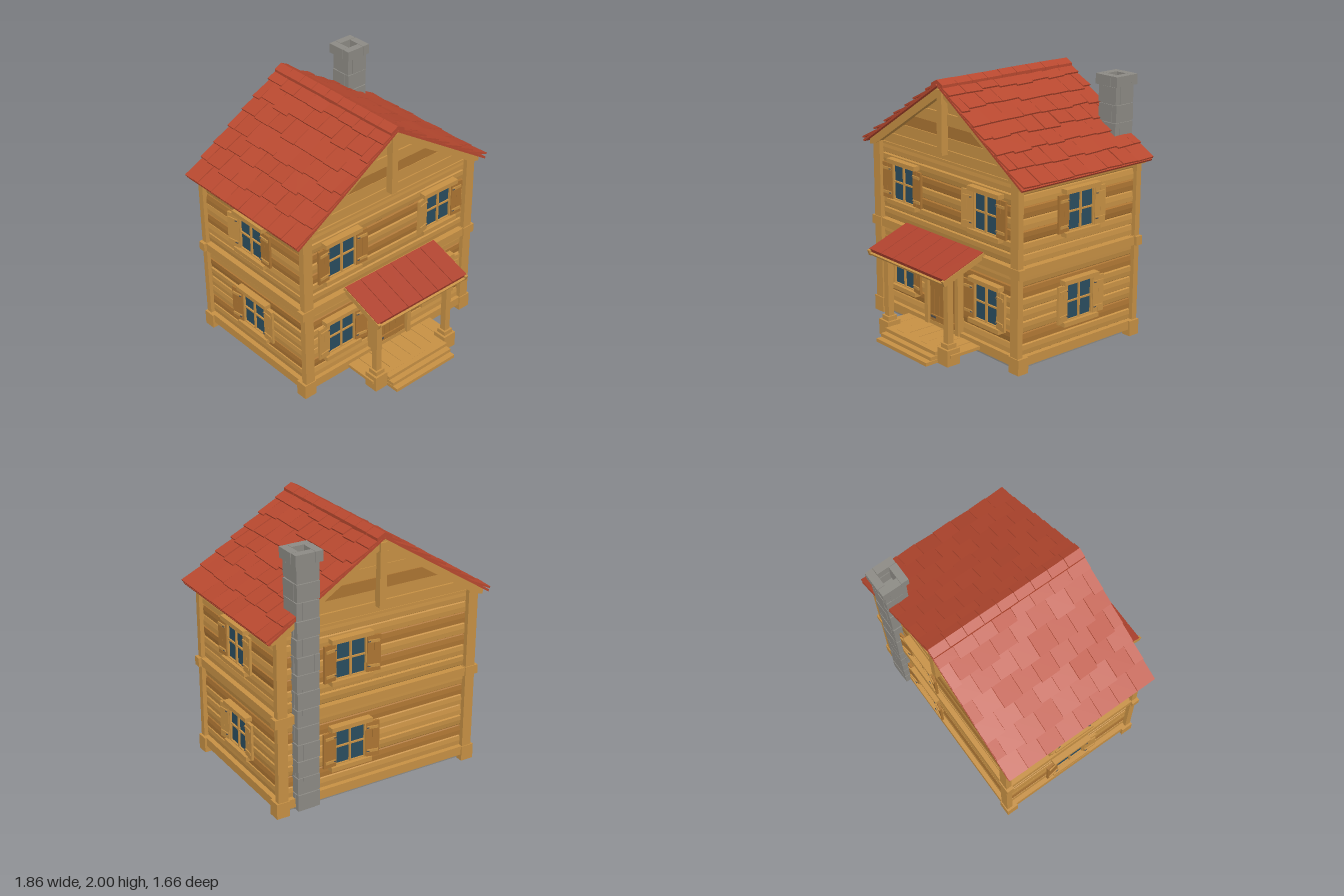
import * as THREE from 'three';

const mat = (name, color) => new THREE.MeshStandardMaterial({ name, color });
const wood = mat('lightWood', 0xc69044), darkWood = mat('darkWood', 0xab7432);
const red = mat('redTile', 0xb7482f), porchRed = mat('porchRed', 0xae422e), stone = mat('stone', 0x8c8a84);
const glass = mat('glass', 0x2a4d5f), iron = mat('iron', 0x4f4e4c);

const ZC = -0.17, HX = 0.797, HZ = 0.578; // house centre and corner post offsets
let seed = 7;
const rnd = (a = 1) => { seed = (seed * 16807) % 2147483647; return (seed / 2147483647 * 2 - 1) * a; };

function group(parent, name, x = 0, y = 0, z = 0) {
  const g = new THREE.Group();
  g.name = name;
  g.position.set(x, y, z);
  parent.add(g);
  return g;
}
function mesh(parent, name, geo, m, x = 0, y = 0, z = 0) {
  const o = new THREE.Mesh(geo, m);
  o.name = name;
  o.position.set(x, y, z);
  parent.add(o);
  return o;
}
const box = (p, name, m, w, h, d, x, y, z) => mesh(p, name, new THREE.BoxGeometry(w, h, d), m, x, y, z);
function extrude(points, depth) {
  const s = new THREE.Shape(points.map(([x, y]) => new THREE.Vector2(x, y)));
  return new THREE.ExtrudeGeometry(s, { depth, bevelEnabled: false });
}

// Hewn log with a slightly tilted, bevelled outer face, running along local x
function log(parent, m, length, h, y, z) {
  const k = h / 2, t = rnd(0.005);
  const geo = extrude([[-0.04, -k], [0.004, -k], [0.013 - t, -k * 0.86], [0.016, 0], [0.013 + t, k * 0.86], [0.004, k], [-0.04, k]], length);
  geo.translate(0, 0, -length / 2).rotateY(-Math.PI / 2);
  mesh(parent, 'wallLog', geo, m, 0, y, z);
}

function windowUnit(parent, x, y, z) {
  const w = group(parent, 'window', x, y, z);
  box(w, 'glassPane', glass, 0.25, 0.29, 0.008, 0, 0, 0.004);
  for (const s of [-1, 1]) {
    box(w, 'windowJamb', wood, 0.01, 0.29, 0.028, s * 0.124, 0, 0.012);
    box(w, 'windowRail', wood, 0.25, 0.01, 0.026, 0, s * 0.141, 0.01);
    box(w, 'windowTrim', wood, 0.34, 0.034, 0.055, 0, s * 0.159, 0.025);
    // Shutter swung a little away from the wall
    const sh = group(w, 'shutter', s * 0.128, 0, 0.024);
    sh.rotation.y = -s * (0.12 + rnd(0.1));
    const m = rnd() > 0.1 ? wood : darkWood;
    for (let i = 0; i < 2; i++) box(sh, 'shutterBoard', m, 0.051, 0.28 + rnd(0.008), 0.018, s * (0.026 + i * 0.052), 0, 0);
    for (const v of [-1, 1]) {
      box(sh, 'shutterBatten', wood, 0.085, 0.02, 0.012, s * 0.05, v * 0.095, 0.012);
      box(sh, 'shutterHinge', iron, 0.02, 0.006, 0.006, s * 0.012, v * 0.095, 0.02);
    }
  }
  box(w, 'mullion', wood, 0.014, 0.28, 0.02, 0, 0, 0.012);
  box(w, 'muntin', wood, 0.25, 0.012, 0.018, 0, 0, 0.011);
}

// One log wall; local z points outwards
function wall(parent, name, angle, half, dist, windows) {
  const w = group(parent, name, 0, 0, ZC);
  w.rotation.y = angle;
  for (const [y0, dark] of [[0.115, [1, 5]], [0.785, [2, 4]]]) {
    const n = 7, pitch = 0.605 / n;
    for (let i = 0; i < n; i++) {
      log(w, dark.includes(i) ? darkWood : wood, half * 2, pitch - 0.003, y0 + (i + 0.5) * pitch, dist - 0.018);
    }
  }
  box(w, 'sillBeam', wood, half * 2, 0.07, 0.06, 0, 0.085, dist);
  box(w, 'beltBeam', wood, half * 2, 0.065, 0.06, 0, 0.75, dist);
  for (const [x, y] of windows) windowUnit(w, x, y, dist);
}

// Gable boards, rake beams and king post
function gable(parent, angle) {
  const g = group(parent, 'gable', 0, 0, ZC);
  g.rotation.y = angle;
  const reach = (y) => Math.min(0.79, Math.max(0, (1.93 - y) / 0.64));
  for (let i = 0; i < 6; i++) {
    const a = 1.385 + i * 0.09, b = Math.min(a + 0.086, 1.925);
    const geo = extrude([[-reach(a), a], [reach(a), a], [reach(b), b], [-reach(b), b]], 0.04);
    mesh(g, 'gableBoard', geo, i === 2 ? darkWood : wood, 0, 0, 0.525 + rnd(0.005));
  }
  mesh(g, 'gableBacking', extrude([[-0.79, 1.385], [0.79, 1.385], [0.79, 1.425], [0, 1.93], [-0.79, 1.425]], 0.02), darkWood, 0, 0, 0.515);
  const rake = [[0, 1.96], [-0.88, 1.396], [-0.875, 1.35], [-0.8, 1.37], [0, 1.88], [0.8, 1.37], [0.875, 1.35], [0.88, 1.396]];
  mesh(g, 'rakeBeam', extrude(rake, 0.06), wood, 0, 0, 0.545);
  box(g, 'kingPost', wood, 0.055, 0.48, 0.06, 0, 1.68, 0.59);
  box(g, 'tieBeam', wood, 1.5, 0.02, 0.05, 0, 1.387, 0.55);
}

function roof(parent) {
  const slope = Math.atan(0.64), len = 1.078, depth = 1.27;
  for (const side of [1, -1]) {
    const turn = group(parent, side > 0 ? 'leftRoof' : 'rightRoof', 0, 1.95, ZC + 0.005);
    turn.rotation.y = side > 0 ? 0 : Math.PI;
    const r = group(turn, 'roofSlope');
    r.rotation.z = -slope;
    box(r, 'roofDeck', red, len, 0.016, depth, len / 2, 0.008, 0);
    const rows = 7, pitch = len / rows, tw = depth / 8;
    for (let row = 0; row < rows; row++) {
      const odd = row % 2;
      for (let i = 0; i < 8 + odd; i++) {
        const z0 = Math.max(-depth / 2, -depth / 2 + (i - odd / 2) * tw);
        const z1 = Math.min(depth / 2, -depth / 2 + (i + 1 - odd / 2) * tw);
        const end = (row + 1) * pitch - (row === rows - 1 ? 0 : 0.01 + rnd(0.018));
        const start = Math.max(0.02, row * pitch - 0.04);
        const t = box(r, 'roofTile', red, end - start, 0.013, z1 - z0 - 0.004, (start + end) / 2, 0.024, (z0 + z1) / 2);
        t.rotation.set(rnd(0.05), 0, 0.12 + rnd(0.03));
      }
    }
    // Rafter tails and wall plate under the eaves
    for (let i = 0; i < 5; i++) box(r, 'rafterTail', wood, 0.14, 0.035, 0.04, 0.975, -0.018, -0.54 + i * 0.27);
    box(turn, 'wallPlate', wood, 0.06, 0.05, 1.12, 0.79, -0.56, 0);
  }
  // Ridge tiles
  for (let i = 0; i < 9; i++) {
    const e = rnd(0.003) - 0.003, cap = [[0, 2 + e], [-0.062, 1.968 + e], [-0.062, 1.935 + e], [0, 1.97 + e], [0.062, 1.935 + e], [0.062, 1.968 + e]];
    mesh(parent, 'ridgeTile', extrude(cap, depth / 9 - 0.004), red, 0, 0, ZC + 0.005 - depth / 2 + i * depth / 9 + 0.002);
  }
}

// Ring of four blocks laid in a pinwheel, flipped on alternate courses
function course(parent, half, t, y, h, flip) {
  const g = group(parent, 'chimneyCourse', 0, y, 0);
  const l = half * 2 - t - 0.004;
  for (let i = 0; i < 4; i++) {
    const side = group(g, 'blockSide');
    side.rotation.y = i * Math.PI / 2;
    box(side, 'stoneBlock', stone, l, h - 0.007, t, (flip ? 1 : -1) * t / 2, 0, half - t / 2 + rnd(0.003));
  }
}
function chimney(parent) {
  const c = group(parent, 'chimney', 0.61, 0, -0.72);
  for (let i = 0; i < 14; i++) course(c, 0.09, 0.042, 0.03 + (i + 0.5) * 0.1335, 0.1335, i % 2);
  course(c, 0.108, 0.06, 1.94, 0.085, 0);
  box(c, 'chimneyCore', stone, 0.16, 1.75, 0.16, 0, 0.91, 0);
}

function door(parent) {
  const d = group(parent, 'door', 0, 0, 0.405);
  box(d, 'doorBacking', darkWood, 0.33, 0.5, 0.02, 0, 0.345, 0);
  for (let i = 0; i < 6; i++) box(d, 'doorBoard', darkWood, 0.049, 0.48, 0.02, -0.131 + i * 0.0525, 0.345, 0.012 + rnd(0.002));
  for (const s of [-1, 1]) {
    box(d, 'doorJamb', wood, 0.038, 0.5, 0.06, s * 0.18, 0.345, 0.015);
    box(d, 'doorBrace', darkWood, 0.28, 0.03, 0.014, 0, 0.35 + s * 0.19, 0.026);
    box(d, 'doorHinge', iron, 0.06, 0.014, 0.006, -0.105, 0.35 + s * 0.19, 0.035);
  }
  box(d, 'doorLintel', wood, 0.42, 0.045, 0.07, 0, 0.615, 0.018);
  box(d, 'handlePlate', iron, 0.03, 0.07, 0.008, 0.08, 0.33, 0.025);
  mesh(d, 'doorKnob', new THREE.SphereGeometry(0.015, 10, 8), iron, 0.08, 0.34, 0.04);
  mesh(d, 'doorRing', new THREE.TorusGeometry(0.018, 0.004, 6, 14), iron, 0.08, 0.322, 0.036);
}

function porch(parent) {
  const p = group(parent, 'porch');
  for (let i = 0; i < 8; i++) box(p, 'deckBoard', wood, 0.103, 0.024, 0.3, -0.3745 + i * 0.107, 0.077 + rnd(0.002), 0.55);
  box(p, 'deckEdge', wood, 0.62, 0.07, 0.04, 0, 0.055, 0.68);
  for (let i = 0; i < 3; i++) {
    const front = 0.83 - i * 0.042;
    box(p, 'step', wood, 0.6, 0.027, front - 0.68, 0, 0.014 + i * 0.031, (front + 0.68) / 2);
  }
  for (const s of [-1, 1]) {
    const post = group(p, 'porchPost', s * 0.355, 0, 0.665);
    box(post, 'postBase', wood, 0.115, 0.125, 0.115, 0, 0.0625, 0);
    box(post, 'postPlinth', wood, 0.08, 0.035, 0.08, 0, 0.142, 0);
    box(post, 'postShaft', wood, 0.05, 0.52, 0.05, 0, 0.4, 0);
    box(post, 'postCapital', wood, 0.075, 0.04, 0.075, 0, 0.655, 0);
  }
  // Sloping roof: local z runs down towards the front
  const r = group(p, 'porchRoof', 0, 0.795, 0.41);
  r.rotation.x = Math.atan2(0.13, 0.36);
  for (let i = 0; i < 6; i++) box(r, 'porchRoofPanel', porchRed, 0.145, 0.018, 0.375, -0.375 + i * 0.15, 0.013, 0.19);
  box(r, 'porchRoofDeck', porchRed, 0.89, 0.01, 0.375, 0, 0, 0.19);
  for (const x of [-0.44, 0.44]) box(r, 'porchRafter', wood, 0.024, 0.044, 0.395, x, -0.005, 0.198);
  box(r, 'porchFascia', wood, 0.9, 0.014, 0.025, 0, -0.012, 0.383);
  box(p, 'porchBeam', wood, 0.8, 0.03, 0.045, 0, 0.68, 0.665);
}

export function createModel() {
  const house = new THREE.Group();
  house.name = 'logHouse';
  box(house, 'foundation', stone, 1.56, 0.05, 1.1, 0, 0.03, ZC);
  box(house, 'wallBacking', darkWood, 1.54, 1.34, 1.08, 0, 0.72, ZC);

  // Walls
  const low = 0.43, high = 1.11, q = Math.PI / 2;
  wall(house, 'frontWall', 0, 0.77, 0.57, [[-0.482, low], [0.482, low], [-0.476, high], [0.476, high]]);
  wall(house, 'backWall', Math.PI, 0.77, 0.57, [[-0.24, low], [-0.24, high]]);
  for (const s of [-1, 1]) wall(house, s > 0 ? 'leftWall' : 'rightWall', s * q, 0.56, 0.808, [[0, low], [0, high]]);
  gable(house, 0);
  gable(house, Math.PI);

  // Corner posts with feet and collars
  for (const sx of [-1, 1]) for (const sz of [-1, 1]) {
    const c = group(house, 'cornerPost', sx * HX, 0, ZC + sz * HZ);
    box(c, 'post', wood, 0.08, 1.4, 0.048, 0, 0.7, 0);
    box(c, 'postFoot', wood, 0.105, 0.12, 0.095, sx * 0.005, 0.06, -sz * 0.016);
    box(c, 'postCollar', wood, 0.11, 0.07, 0.06, sx * 0.01, 0.752, sz * 0.002);
  }
  door(house);
  porch(house);
  roof(house);
  chimney(house);
  return house;
}
